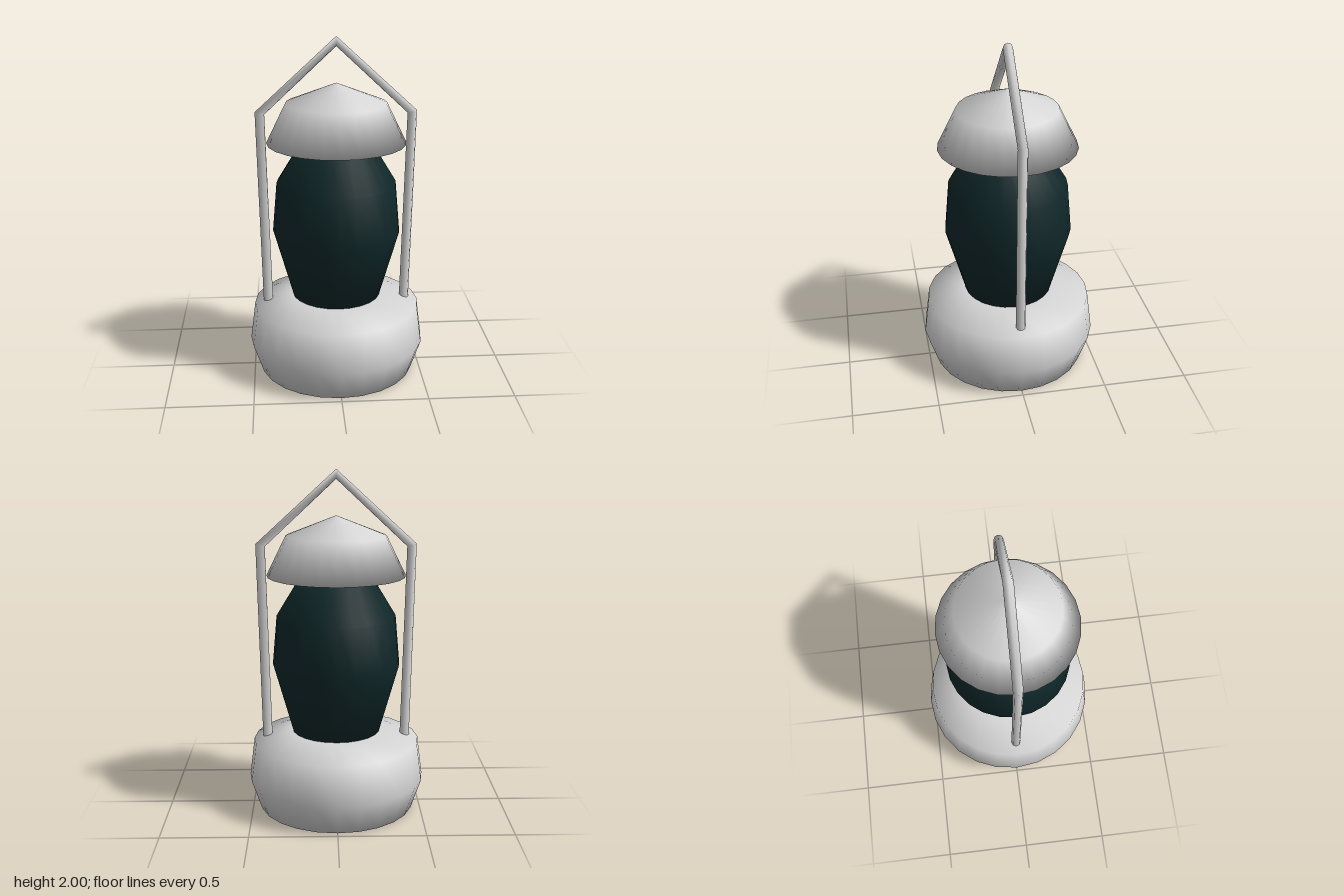
import * as THREE from 'three';

const SEGMENTS = 24;

// Closed smooth turned part from [radius, height] pairs, bottom to top
function turned(name, profile, material) {
  const points = profile.map(([r, y]) => new THREE.Vector2(r, y));
  const mesh = new THREE.Mesh(new THREE.LatheGeometry(points, SEGMENTS), material);
  mesh.name = name;
  return mesh;
}

// Round bar in the xy plane; each joint is [x, y, outward x, outward y]
function bentBar(joints, radius, sides) {
  const positions = [];
  const indices = [];
  joints.forEach(([x, y, ox, oy]) => {
    const o = new THREE.Vector2(ox, oy).normalize();
    for (let j = 0; j < sides; j++) {
      const a = (j / sides) * Math.PI * 2;
      const c = Math.cos(a) * radius;
      positions.push(x + o.x * c, y + o.y * c, Math.sin(a) * radius);
    }
  });
  for (let i = 0; i < joints.length - 1; i++) {
    for (let j = 0; j < sides; j++) {
      const k = (j + 1) % sides;
      const a = i * sides + j, b = i * sides + k;
      indices.push(a, b, b + sides, a, b + sides, a + sides);
    }
  }
  // End caps
  const last = (joints.length - 1) * sides;
  for (let j = 1; j < sides - 1; j++) {
    indices.push(0, j + 1, j, last, last + j, last + j + 1);
  }
  const geometry = new THREE.BufferGeometry();
  geometry.setAttribute('position', new THREE.Float32BufferAttribute(positions, 3));
  geometry.setIndex(indices);
  geometry.computeVertexNormals();
  return geometry;
}

export function createModel() {
  const metal = new THREE.MeshStandardMaterial({ color: 0xd4d4d4 });
  metal.name = 'pale metal';
  const darkGlass = new THREE.MeshStandardMaterial({ color: 0x0f2729 });
  darkGlass.name = 'dark glass';

  const lantern = new THREE.Group();
  lantern.name = 'lantern';

  // Wide foot, glass chimney and conical lid stacked on one axis
  lantern.add(
    turned('base', [[0, 0], [0.46, 0], [0.52, 0.18], [0.49, 0.41], [0.27, 0.467], [0, 0.467]], metal),
    turned('glass', [[0, 0.46], [0.258, 0.46], [0.373, 0.87], [0.347, 1.16], [0.2, 1.402], [0, 1.402]], darkGlass),
    turned('lid', [[0, 1.397], [0.402, 1.397], [0.29, 1.625], [0, 1.74]], metal)
  );

  // Carrying handle: two uprights meeting in a peak
  const handle = new THREE.Mesh(bentBar([
    [-0.41, 0.41, -1, 0],
    [-0.435, 1.57, -0.95, 0.25],
    [0, 1.972, 0, 1],
    [0.435, 1.57, 0.95, 0.25],
    [0.41, 0.41, 1, 0],
  ], 0.028, 8), metal);
  handle.name = 'handle';
  lantern.add(handle);

  return lantern;
}
